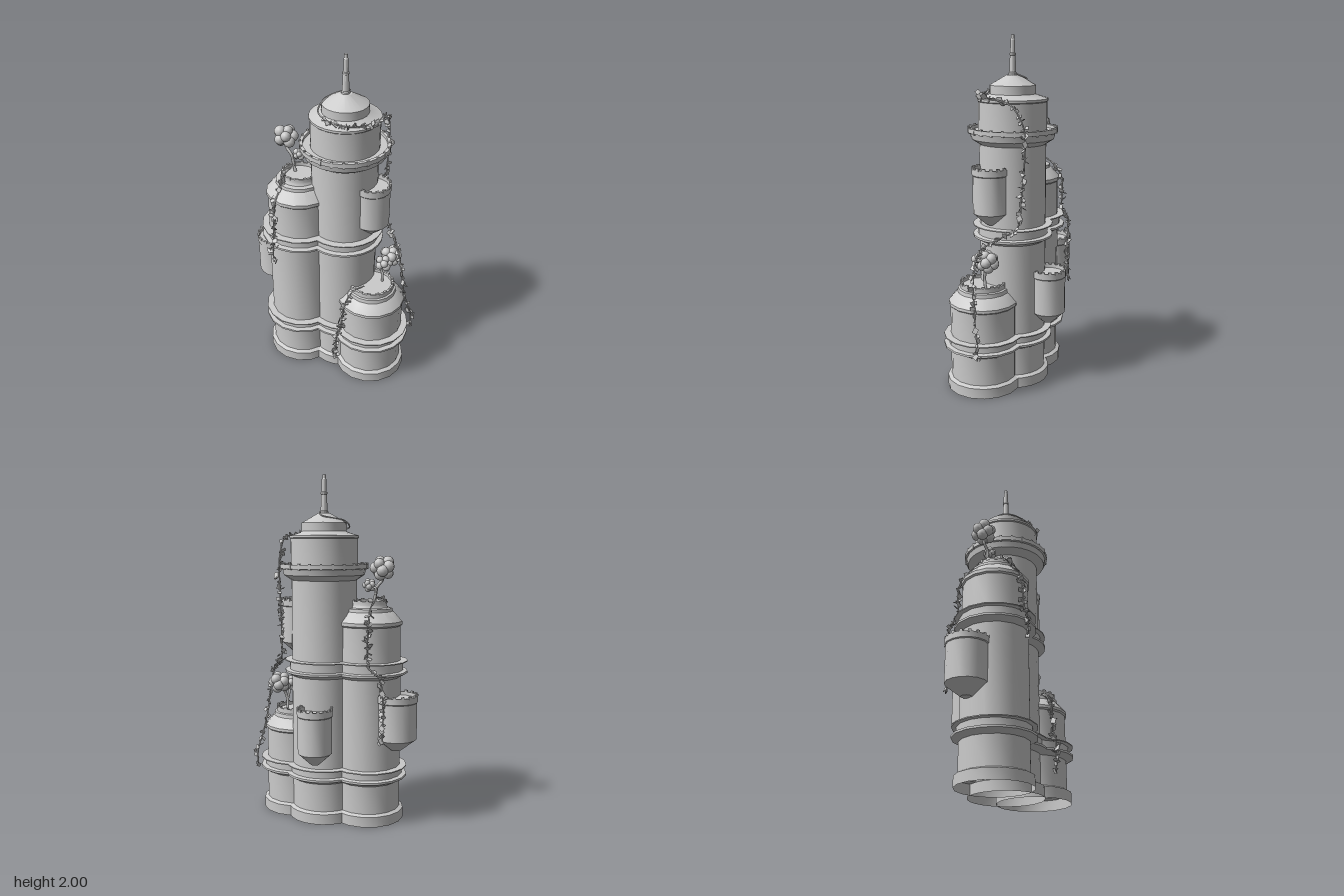
import * as THREE from 'three';
import { mergeGeometries, toCreasedNormals } from 'three/addons/utils/BufferGeometryUtils.js';

const grey = new THREE.MeshStandardMaterial({ color: 0xcccccc, side: THREE.DoubleSide });

let seed = 7;
const rnd = () => (seed = (seed * 16807) % 2147483647) / 2147483647;
const vecs = (list) => list.map((p) => new THREE.Vector3(...p));

function add(parent, name, geometry, x = 0, y = 0, z = 0) {
  const mesh = new THREE.Mesh(geometry, grey);
  mesh.name = name;
  mesh.position.set(x, y, z);
  parent.add(mesh);
  return mesh;
}

// Turned body from [radius, height] pairs, listed from the bottom up
function turned(profile, sides) {
  const points = profile.map(([r, y]) => new THREE.Vector2(r, y));
  return toCreasedNormals(new THREE.LatheGeometry(points, sides), 0.5);
}

// Ring of little posts standing on a parapet
function posts(count, radius, y, width, height) {
  const parts = [];
  for (let i = 0; i < count; i++) {
    const g = new THREE.BoxGeometry(width, height, 0.012);
    g.translate(0, y, radius);
    g.rotateY((i / count) * Math.PI * 2);
    parts.push(g);
  }
  return mergeGeometries(parts);
}

// Double ledge around a tower
const ledge = (b, gap) => [
  [0.19, b - 0.022], [0.23, b], [0.23, b + 0.012], [0.203, b + 0.016], [0.203, b + gap],
  [0.23, b + gap + 0.002], [0.23, b + gap + 0.008], [0.19, b + gap + 0.01],
];
const foot = [[0.212, 0], [0.212, 0.06], [0.19, 0.07]];
const lowLedge = ledge(0.257, 0.057);
const highLedge = ledge(0.872, 0.065);

// Hanging turret with a tapered underside and a parapet
function turret(parent, name, x, y, z, r) {
  const g = new THREE.Group();
  g.name = name;
  g.position.set(x, y, z);
  add(g, 'turretBody', turned([
    [0, 0], [r * 0.25, 0], [r * 0.96, 0.068], [r * 0.96, 0.28], [r, 0.285], [r, 0.32],
    [r * 0.9, 0.32], [r * 0.9, 0.3], [0, 0.3],
  ], 16));
  add(g, 'turretPosts', posts(16, r * 0.95, 0.322, 0.018, 0.016));
  parent.add(g);
}

// Cluster of leaf balls
function crown(parent, name, x, y, z, r) {
  const parts = [];
  const n = 11;
  for (let i = 0; i < n; i++) {
    const h = 1 - (2 * (i + 0.5)) / n, a = i * 2.4, s = Math.sqrt(1 - h * h);
    const ball = new THREE.SphereGeometry(r * (0.42 + 0.1 * rnd()), 10, 8);
    ball.translate(Math.cos(a) * s * r * 0.62, h * r * 0.62, Math.sin(a) * s * r * 0.62);
    parts.push(ball);
  }
  add(parent, name, mergeGeometries(parts), x, y, z);
}

function branch(parent, name, path, r) {
  const curve = new THREE.CatmullRomCurve3(vecs(path));
  add(parent, name, new THREE.TubeGeometry(curve, 12, r, 6));
}

// Vine stem with small tilted leaves
function vine(parent, name, path, leafCount, leafStart = 0) {
  const curve = new THREE.CatmullRomCurve3(vecs(path), false, 'centripetal');
  const g = new THREE.Group();
  g.name = name;
  add(g, 'vineStem', new THREE.TubeGeometry(curve, path.length * 10, 0.0045, 5));
  const leaves = [];
  for (let i = 0; i < leafCount; i++) {
    const p = curve.getPointAt(leafStart + (1 - leafStart) * (i + 0.5) / leafCount);
    const s = 0.016 + 0.014 * rnd();
    const leaf = new THREE.BoxGeometry(s, s * 1.15, 0.004);
    leaf.rotateX(rnd() * 6.3);
    leaf.rotateY(rnd() * 6.3);
    leaf.rotateZ(rnd() * 6.3);
    leaf.translate(p.x + (rnd() - 0.5) * 0.028, p.y + (rnd() - 0.5) * 0.02, p.z + (rnd() - 0.5) * 0.028);
    leaves.push(leaf);
  }
  add(g, 'vineLeaves', mergeGeometries(leaves));
  parent.add(g);
}

export function createModel() {
  const model = new THREE.Group();
  model.name = 'towerCluster';

  // Tall tower with balcony, stepped cap and conical roof
  const tall = new THREE.Group();
  tall.name = 'tallTower';
  tall.position.set(0.06, 0, -0.032);
  model.add(tall);
  add(tall, 'tallTowerBody', turned([
    ...foot, ...lowLedge, ...highLedge,
    [0.19, 1.405], [0.235, 1.435], [0.243, 1.47], [0.255, 1.472], [0.255, 1.496], [0.236, 1.496],
    [0.236, 1.478], [0.194, 1.478], [0.194, 1.64], [0.2, 1.645], [0.2, 1.658],
    [0.135, 1.678], [0.13, 1.682], [0.13, 1.73], [0.034, 1.785], [0, 1.785],
  ], 24));
  add(tall, 'balconyPosts', posts(24, 0.249, 1.485, 0.012, 0.036));
  add(tall, 'spire', turned([
    [0.024, 1.77], [0.024, 1.795], [0.02, 1.8], [0.016, 1.89], [0.019, 1.892], [0.019, 1.902],
    [0.014, 1.905], [0.013, 1.975], [0.01, 1.98], [0.01, 2], [0, 2],
  ], 12));

  // Medium tower on the right
  const medium = new THREE.Group();
  medium.name = 'mediumTower';
  medium.position.set(-0.178, 0, 0.072);
  model.add(medium);
  add(medium, 'mediumTowerBody', turned([
    ...foot, ...lowLedge, ...highLedge,
    [0.187, 1.145], [0.196, 1.153], [0.196, 1.172], [0.148, 1.225], [0.14, 1.228], [0.138, 1.246],
    [0.112, 1.25], [0.105, 1.265], [0.105, 1.288], [0.093, 1.288], [0.093, 1.268], [0, 1.268],
  ], 16));
  add(medium, 'mediumTowerPosts', posts(14, 0.1, 1.286, 0.018, 0.016));

  // Short tower on the left
  const short = new THREE.Group();
  short.name = 'shortTower';
  short.position.set(0.275, 0, 0);
  model.add(short);
  add(short, 'shortTowerBody', turned([
    ...foot, ...lowLedge,
    [0.19, 0.498], [0.199, 0.506], [0.198, 0.522], [0.156, 0.572], [0.148, 0.576], [0.145, 0.598],
    [0.134, 0.602], [0.134, 0.628], [0.12, 0.628], [0.12, 0.61], [0, 0.61],
  ], 16));
  add(short, 'shortTowerPosts', posts(16, 0.127, 0.628, 0.02, 0.018));

  // Hanging turrets
  turret(model, 'rightTurret', -0.383, 0.44, 0.045, 0.122);
  turret(model, 'leftTurret', 0.24, 0.915 + 0.05, -0.033, 0.106);
  turret(model, 'backTurret', -0.015, 0.365, -0.242, 0.103);

  // Rooftop trees
  const upperTree = new THREE.Group();
  upperTree.name = 'upperTree';
  model.add(upperTree);
  branch(upperTree, 'upperTrunk',
    [[-0.215, 1.26, 0.06], [-0.235, 1.33, 0.055], [-0.24, 1.37, 0.06], [-0.275, 1.41, 0.06], [-0.275, 1.47, 0.06]], 0.009);
  branch(upperTree, 'upperBranch', [[-0.235, 1.32, 0.055], [-0.245, 1.36, 0.04], [-0.2, 1.375, 0.045]], 0.006);
  crown(upperTree, 'upperCrown', -0.277, 1.478, 0.06, 0.068);
  crown(upperTree, 'upperSmallCrown', -0.198, 1.378, 0.045, 0.036);

  const lowerTree = new THREE.Group();
  lowerTree.name = 'lowerTree';
  model.add(lowerTree);
  branch(lowerTree, 'lowerTrunk', [[0.315, 0.6, -0.06], [0.318, 0.68, -0.055], [0.335, 0.78, -0.1]], 0.009);
  branch(lowerTree, 'lowerBranch', [[0.317, 0.66, -0.055], [0.31, 0.72, -0.045], [0.325, 0.765, -0.035]], 0.007);
  crown(lowerTree, 'lowerCrown', 0.34, 0.785, -0.1, 0.062);
  crown(lowerTree, 'lowerSmallCrown', 0.33, 0.77, -0.035, 0.05);

  // Vines
  vine(model, 'roofVine', [
    [0.065, 1.79, -0.07], [0.03, 1.77, -0.1], [-0.02, 1.755, -0.06], [-0.04, 1.745, 0.02], [-0.03, 1.71, 0.1],
    [0.05, 1.69, 0.135], [0.15, 1.68, 0.125], [0.21, 1.67, 0.07], [0.24, 1.665, -0.01], [0.255, 1.66, -0.1],
    [0.235, 1.63, -0.19], [0.215, 1.52, -0.255], [0.21, 1.4, -0.26], [0.215, 1.15, -0.24], [0.23, 0.97, -0.22],
    [0.3, 0.92, -0.165], [0.38, 0.86, -0.1], [0.42, 0.77, -0.08], [0.44, 0.6, -0.09], [0.46, 0.45, -0.12],
    [0.475, 0.35, -0.15], [0.475, 0.25, -0.15],
  ], 95, 0.14);
  vine(model, 'frontVine', [
    [-0.22, 1.31, 0.06], [-0.22, 1.29, 0.17], [-0.217, 1.22, 0.225], [-0.215, 1.15, 0.275],
    [-0.215, 0.96, 0.295], [-0.21, 0.88, 0.315], [-0.21, 0.78, 0.312],
  ], 34, 0.12);
  vine(model, 'backVine', [
    [-0.25, 1.3, 0.03], [-0.265, 1.25, -0.06], [-0.285, 1.17, -0.11], [-0.285, 0.97, -0.12],
    [-0.31, 0.93, -0.14], [-0.355, 0.88, -0.11], [-0.372, 0.75, -0.095], [-0.375, 0.5, -0.1],
  ], 40, 0.12);
  vine(model, 'lowVine', [
    [0.27, 0.645, 0.08], [0.215, 0.61, 0.13], [0.195, 0.52, 0.185], [0.185, 0.37, 0.2],
    [0.17, 0.31, 0.225], [0.165, 0.13, 0.225],
  ], 28, 0.15);

  return model;
}
